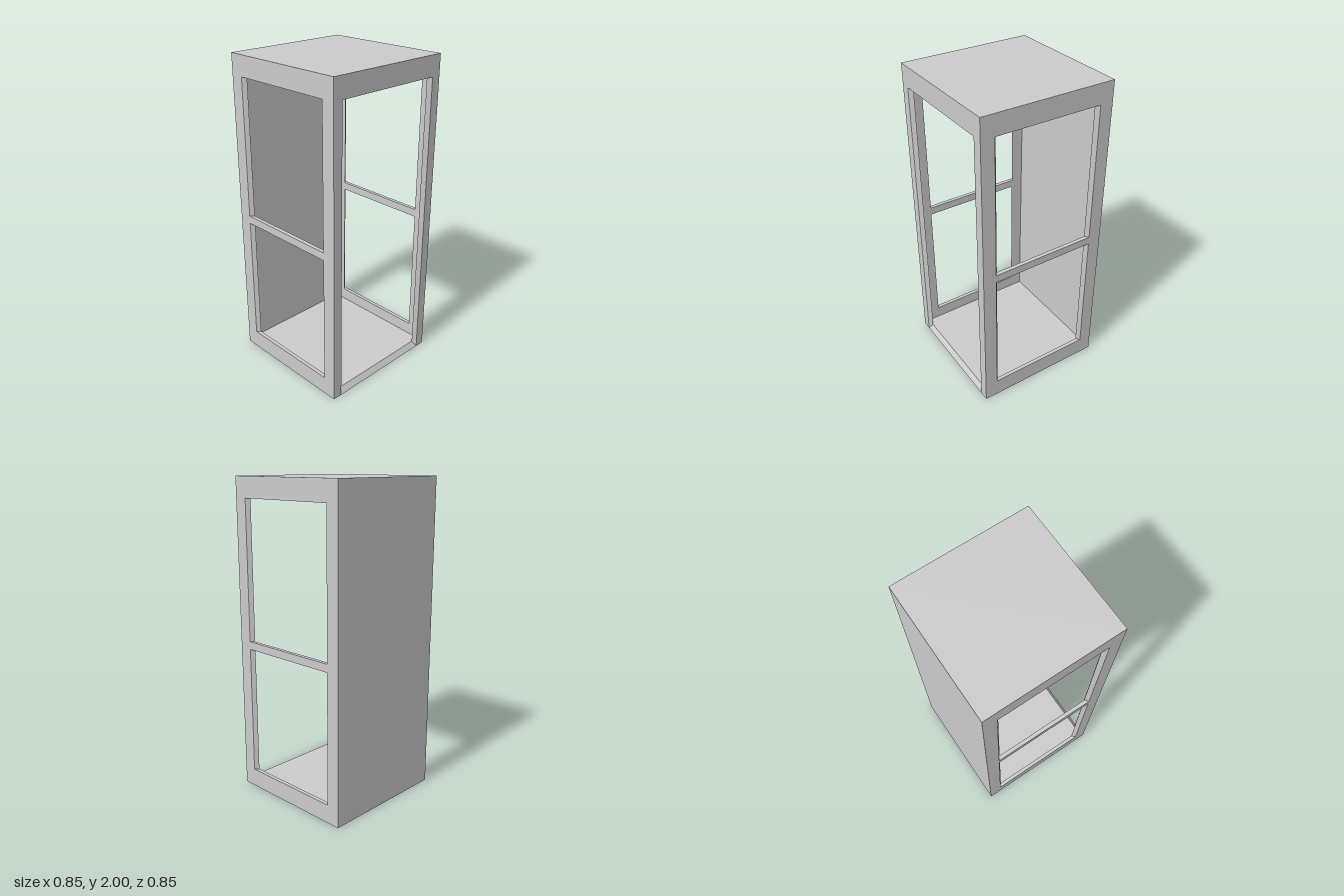
import * as THREE from 'three';

const HALF = 0.425, HEIGHT = 2, SLAB = 0.037, TAPER = 0.942;
const material = new THREE.MeshStandardMaterial({ color: 0xcccccc, flatShading: true });

function polygon(points, Type = THREE.Shape) {
  return new Type(points.map(([x, y]) => new THREE.Vector2(x, y)));
}

function rectangle(halfWidth, y0, y1, Type) {
  return polygon([[-halfWidth, y0], [halfWidth, y0], [halfWidth, y1], [-halfWidth, y1]], Type);
}

// Thick panel: the outer face is placed by a rule, the inner face is the same
// outline drawn in towards the middle, so corners mitre and openings splay.
function panel(name, shape, place) {
  const geometry = new THREE.ExtrudeGeometry(shape, { depth: 1, bevelEnabled: false });
  const pos = geometry.attributes.position;
  for (let i = 0; i < pos.count; i++) {
    const inner = pos.getZ(i) < 0.5;
    let [x, y, z] = place(pos.getX(i), pos.getY(i));
    if (inner) {
      x *= TAPER;
      z *= TAPER;
      y = THREE.MathUtils.clamp(y, SLAB, HEIGHT - SLAB);
    }
    pos.setXYZ(i, x, y, z);
  }
  geometry.computeVertexNormals();
  const mesh = new THREE.Mesh(geometry, material);
  mesh.name = name;
  return mesh;
}

export function createModel() {
  const booth = new THREE.Group();
  booth.name = 'booth';

  // Front wall with a doorway open down to the ground
  const doorway = polygon([
    [-HALF, 0], [-0.363, 0], [-0.363, 1.872], [0.363, 1.872],
    [0.363, 0], [HALF, 0], [HALF, HEIGHT], [-HALF, HEIGHT],
  ]);
  booth.add(panel('frontWall', doorway, (u, v) => [u, v, HALF]));

  // Solid back wall
  booth.add(panel('backWall', rectangle(HALF, 0, HEIGHT), (u, v) => [-u, v, -HALF]));

  // Side walls, each with two windows and a bar between them
  for (const [name, side] of [['leftWall', 1], ['rightWall', -1]]) {
    const wall = rectangle(HALF, 0, HEIGHT);
    for (const [y0, y1] of [[0.117, 0.94], [0.99, 1.872]]) {
      wall.holes.push(rectangle(0.34, y0, y1, THREE.Path));
    }
    booth.add(panel(name, wall, (u, v) => [side * HALF, v, -side * u]));
  }

  // Roof and floor slabs; the floor's tapered front edge makes the sill
  const square = rectangle(HALF, -HALF, HALF);
  booth.add(panel('roof', square, (u, v) => [u, HEIGHT, -v]));
  booth.add(panel('floor', square, (u, v) => [u, 0, v]));

  return booth;
}
